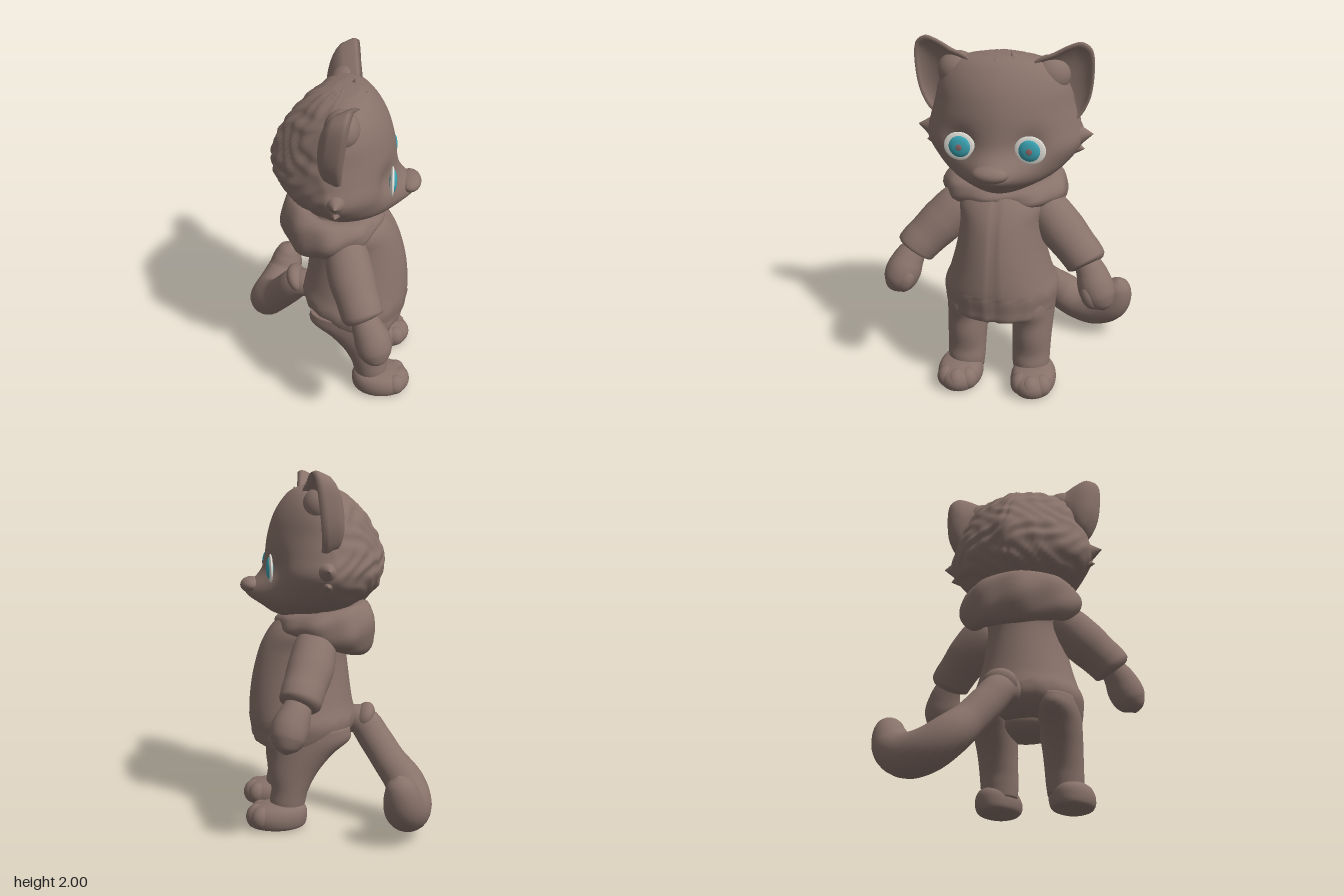
import * as THREE from 'three';

const mat = (name, color) => {
  const m = new THREE.MeshStandardMaterial({ color });
  m.name = name;
  return m;
};
const V = (x, y, z) => new THREE.Vector3(x, y, z);

// Smooth skin over a list of rings of points; ends are capped unless the rings form a loop
function skin(rings, loop = false) {
  const n = rings[0].length, m = rings.length, pts = rings.flat(), idx = [];
  for (let j = 0; j < (loop ? m : m - 1); j++) {
    for (let i = 0; i < n; i++) {
      const a = j * n + i, b = j * n + (i + 1) % n;
      const c = ((j + 1) % m) * n + i, d = ((j + 1) % m) * n + (i + 1) % n;
      idx.push(a, c, b, b, c, d);
    }
  }
  if (!loop) {
    [0, m - 1].forEach((j) => {
      const mid = V(0, 0, 0);
      rings[j].forEach((p) => mid.addScaledVector(p, 1 / n));
      const k = pts.push(mid) - 1;
      for (let i = 0; i < n; i++) {
        const a = j * n + i, b = j * n + (i + 1) % n;
        if (j === 0) idx.push(k, a, b); else idx.push(k, b, a);
      }
    });
  }
  // Turn the faces outward if the enclosed volume is negative
  let vol = 0;
  for (let i = 0; i < idx.length; i += 3) {
    vol += pts[idx[i]].dot(V(0, 0, 0).crossVectors(pts[idx[i + 1]], pts[idx[i + 2]]));
  }
  if (vol < 0) idx.reverse();
  const g = new THREE.BufferGeometry().setFromPoints(pts);
  g.setIndex(idx);
  g.computeVertexNormals();
  return g;
}

// Stack of level ovals from rows of [y, back x, front x, half width]; taper above 1 narrows front and back
function stack(rows, { z = 0, warp = null, n = 64, steps = 56, taper = [1, 1] } = {}) {
  const mid = new THREE.CatmullRomCurve3(rows.map(([y, a, b]) => V((a + b) / 2, y, 0)), false, 'catmullrom');
  const size = new THREE.CatmullRomCurve3(rows.map(([, a, b, w]) => V((b - a) / 2, w, 0)), false, 'catmullrom');
  const rings = [];
  for (let j = 0; j <= steps; j++) {
    const c = mid.getPoint(j / steps), r = size.getPoint(j / steps), ring = [];
    for (let i = 0; i < n; i++) {
      const t = (i / n) * Math.PI * 2, co = Math.cos(t), si = Math.sin(t), e = taper[co > 0 ? 0 : 1];
      const p = V(c.x + r.x * Math.sign(co) * Math.abs(co) ** e, c.y, z + r.y * Math.sign(si) * Math.abs(si) ** e);
      if (warp) warp(p, t);
      ring.push(p);
    }
    rings.push(ring);
  }
  return skin(rings);
}

// Round limb along rows of [x, y, z, radius]
function limb(rows, steps = 40, n = 24) {
  const path = new THREE.CatmullRomCurve3(rows.map(([x, y, z]) => V(x, y, z)));
  const rad = new THREE.CatmullRomCurve3(rows.map((r) => V(r[3], 0, 0)), false, 'catmullrom');
  const f = path.computeFrenetFrames(steps);
  const rings = [];
  for (let j = 0; j <= steps; j++) {
    const u = j / steps, t = path.getUtoTmapping(u), c = path.getPoint(t);
    const r = Math.max(0.005, rad.getPoint(t).x);
    rings.push(Array.from({ length: n }, (_, i) => {
      const a = (i / n) * Math.PI * 2;
      return c.clone().addScaledVector(f.normals[j], r * Math.cos(a)).addScaledVector(f.binormals[j], r * Math.sin(a));
    }));
  }
  return skin(rings);
}

// Cupped ear: outline of [z, y], domed behind and hollow in front, inner edge turned forward
function ear(s) {
  const outline = new THREE.CatmullRomCurve3([
    [0.39, 1.56], [0.458, 1.66], [0.485, 1.82], [0.472, 1.96], [0.42, 2.0],
    [0.35, 1.982], [0.28, 1.945], [0.16, 1.88], [0.19, 1.70], [0.29, 1.58],
  ].map(([z, y]) => V(0, y, z)), true);
  const n = 48, rings = [];
  const layer = (k, dx) => rings.push(Array.from({ length: n }, (_, i) => {
    const p = outline.getPoint(i / n);
    const y = 1.78 + (p.y - 1.78) * k, z = 0.345 + (p.z - 0.345) * k;
    return V(0.075 + (y - 1.6) * 0.13 + (0.4 - z) * 0.17 + dx, y, z * s);
  }));
  for (let j = 1; j <= 8; j++) layer(j / 8 * 0.99, -0.015 - 0.12 * Math.sqrt(1 - (j / 8) ** 2));
  layer(1, 0);
  layer(0.96, 0.022);
  for (let j = 7; j >= 1; j--) layer(j / 8, 0.015 - 0.05 * (1 - (j / 8) ** 3));
  return skin(rings);
}

export function createModel() {
  const brown = mat('brown clay', 0x88726a);
  const white = mat('eye white', 0xe4e2da);
  const teal = mat('iris teal', 0x3aa3b2);
  const rose = mat('pupil rose', 0x96696a);

  const model = new THREE.Group();
  model.name = 'standingCub';
  const body = new THREE.Group();
  body.name = 'body';
  body.position.z = 0.038;
  model.add(body);
  const add = (name, geo, m = brown, parent = body) => {
    const mesh = new THREE.Mesh(geo, m);
    mesh.name = name;
    parent.add(mesh);
    return mesh;
  };
  const ball = (name, pos, scale, m = brown) => {
    const b = add(name, new THREE.SphereGeometry(1, 32, 20), m);
    b.position.set(...pos);
    b.scale.set(...scale);
    return b;
  };

  // Head with a pushed-out muzzle, eye sockets and lumpy fur behind
  add('head', stack([
    [1.185, 0.12, 0.27, 0.08], [1.22, -0.08, 0.34, 0.18], [1.28, -0.2, 0.38, 0.30],
    [1.36, -0.275, 0.385, 0.385], [1.45, -0.30, 0.38, 0.435], [1.55, -0.30, 0.37, 0.415],
    [1.65, -0.265, 0.355, 0.385], [1.75, -0.205, 0.325, 0.36], [1.83, -0.13, 0.28, 0.315],
    [1.89, -0.055, 0.225, 0.235], [1.92, 0.03, 0.16, 0.1],
  ], {
    n: 96, steps: 72, taper: [1.08, 1.34],
    warp: (p, t) => {
      if (Math.cos(t) > 0) {
        p.x += 0.1 * Math.exp(-(((p.y - 1.335) / (p.y > 1.335 ? 0.085 : 0.07)) ** 2) - (p.z / 0.14) ** 2);
        p.x -= 0.035 * Math.exp(-(((p.y - 1.475) / 0.085) ** 2) - ((Math.abs(p.z) - 0.185) / 0.085) ** 2);
      }
      const fur = 0.011 * Math.max(0, Math.min(1, 0.25 - Math.cos(t)))
        * Math.sin(t * 14 + 2 * Math.sin(p.y * 21)) * Math.sin(p.y * 42 + 2 * Math.sin(t * 6));
      p.x += fur * Math.cos(t);
      p.z += fur * Math.sin(t);
    },
  }));
  ball('nose', [0.448, 1.365, 0.005], [0.064, 0.047, 0.098]);

  // Tufts of fur on the crown
  [[0.14, 1.9, -0.07, 0.35], [0.08, 1.89, 0.06, -0.5], [0.2, 1.87, 0.01, 0.3]].forEach(([x, y, z, lean]) => {
    const tuft = add('crownTuft', new THREE.ConeGeometry(0.06, 0.09, 16));
    tuft.position.set(x, y, z);
    tuft.rotation.x = lean;
  });

  // Hood lying round the neck, deeper at the back
  const hood = [];
  for (let j = 0; j < 64; j++) {
    const t = (j / 64) * Math.PI * 2, c = Math.cos(t), s = Math.sin(t), back = (1 - c) / 2;
    const h = 0.06 + 0.098 * back, w = 0.085 + 0.008 * Math.sin(t * 9);
    hood.push(Array.from({ length: 24 }, (_, i) => {
      const a = (i / 24) * Math.PI * 2, r = w * Math.cos(a) * (1 + 0.06 * Math.sin(a * 4 + t * 5));
      return V(0.025 + (0.2 + r) * c, 1.15 - 0.03 * back + h * Math.sin(a), (0.268 + r) * s);
    }));
  }
  add('hood', skin(hood, true));

  // Jacket with a gathered hem and a centre seam
  add('jacket', stack([
    [0.455, 0.08, 0.41, 0.275], [0.48, -0.04, 0.45, 0.305], [0.54, -0.125, 0.46, 0.322],
    [0.61, -0.145, 0.47, 0.325], [0.70, -0.125, 0.47, 0.29], [0.85, -0.105, 0.45, 0.25],
    [1.0, -0.09, 0.41, 0.23], [1.1, -0.1, 0.36, 0.24], [1.17, -0.08, 0.3, 0.2], [1.25, -0.03, 0.2, 0.14],
  ], {
    warp: (p, t) => {
      if (t === 0) p.x -= 0.012;
      if (p.y > 0.47 && p.y < 0.62) p.x += 0.004 * Math.sin(t * 16);
    },
  }));
  ball('hips', [0.19, 0.47, 0], [0.17, 0.09, 0.21]);

  for (const s of [1, -1]) {
    const side = s > 0 ? 'far' : 'near';
    add(side + 'Ear', ear(s));
    ball(side + 'EarBase', [0.085, 1.81, 0.25 * s], [0.095, 0.105, 0.11]);

    // Eye: thin white with a domed iris and small pupil
    ball(side + 'Eye', [0.35, 1.475, 0.188 * s], [0.013, 0.079, 0.084], white);
    ball(side + 'Iris', [0.355, 1.475, 0.186 * s], [0.021, 0.06, 0.059], teal);
    ball(side + 'Pupil', [0.3745, 1.475, 0.186 * s], [0.003, 0.018, 0.017], rose);

    // Cheek fur
    [[1.475, 0.425, 0.095, 0.12], [1.40, 0.38, 0.09, -0.1]].forEach(([y, z, r, up]) => {
      const tuft = add(side + 'CheekTuft', new THREE.ConeGeometry(r, 0.13, 20));
      tuft.position.set(0.06, y, z * s);
      tuft.rotation.x = s * (Math.PI / 2 - up);
    });

    // Sleeve with a loose cuff, and a mitten hand
    add(side + 'Sleeve', limb([
      [0.1, 1.11, 0.15, 0.04], [0.11, 1.06, 0.23, 0.11], [0.145, 0.95, 0.335, 0.128], [0.185, 0.865, 0.42, 0.12],
      [0.207, 0.82, 0.465, 0.118], [0.222, 0.78, 0.495, 0.108], [0.23, 0.765, 0.505, 0.05],
    ].map(([x, y, z, r]) => [x, y, z * s, r])));
    add(side + 'Hand', limb([
      [0.22, 0.79, 0.49, 0.07], [0.25, 0.73, 0.525, 0.088], [0.277, 0.67, 0.55, 0.1],
      [0.292, 0.61, 0.575, 0.092], [0.303, 0.565, 0.595, 0.058], [0.308, 0.54, 0.602, 0.006],
    ].map(([x, y, z, r]) => [x, y, z * s, r])));
    const thumb = ball(side + 'Thumb', [0.335, 0.63, 0.525 * s], [0.047, 0.075, 0.048]);
    thumb.rotation.x = -0.4 * s;

    // Leg, foot and toes
    add(side + 'Leg', stack([
      [0.08, 0.18, 0.36, 0.10], [0.15, 0.165, 0.37, 0.108], [0.22, 0.145, 0.36, 0.11], [0.32, 0.09, 0.37, 0.114],
      [0.42, 0.005, 0.37, 0.12], [0.5, -0.09, 0.39, 0.122], [0.57, -0.09, 0.38, 0.12],
    ], { z: 0.19 * s, n: 32, steps: 30 }));
    add(side + 'Foot', stack([
      [0.004, 0.2, 0.45, 0.09], [0.02, 0.17, 0.49, 0.118], [0.06, 0.16, 0.507, 0.13],
      [0.1, 0.16, 0.497, 0.125], [0.13, 0.175, 0.46, 0.105], [0.148, 0.2, 0.38, 0.06],
    ], { z: 0.215 * s, n: 40, steps: 20 }));
    [-0.06, 0, 0.06].forEach((d) => {
      ball(side + 'Toe', [d ? 0.418 : 0.443, 0.073, (0.215 + d) * s], [0.062, 0.066, 0.058]);
    });
  }

  // Tail sweeping back and curling up to one side
  add('tail', limb([
    [-0.06, 0.58, 0.03, 0.07], [-0.18, 0.565, -0.02, 0.09], [-0.25, 0.47, -0.075, 0.095], [-0.32, 0.36, -0.145, 0.098],
    [-0.395, 0.255, -0.23, 0.112], [-0.405, 0.185, -0.34, 0.12], [-0.37, 0.175, -0.46, 0.122],
    [-0.328, 0.23, -0.56, 0.112], [-0.305, 0.32, -0.597, 0.093], [-0.29, 0.39, -0.602, 0.06], [-0.285, 0.415, -0.602, 0.006],
  ], 64), brown, model);
  // Fold where the tail leaves the jacket
  const fold = ball('tailFold', [-0.19, 0.595, -0.06], [0.055, 0.085, 0.1]);
  fold.rotation.z = 0.5;

  return model;
}
